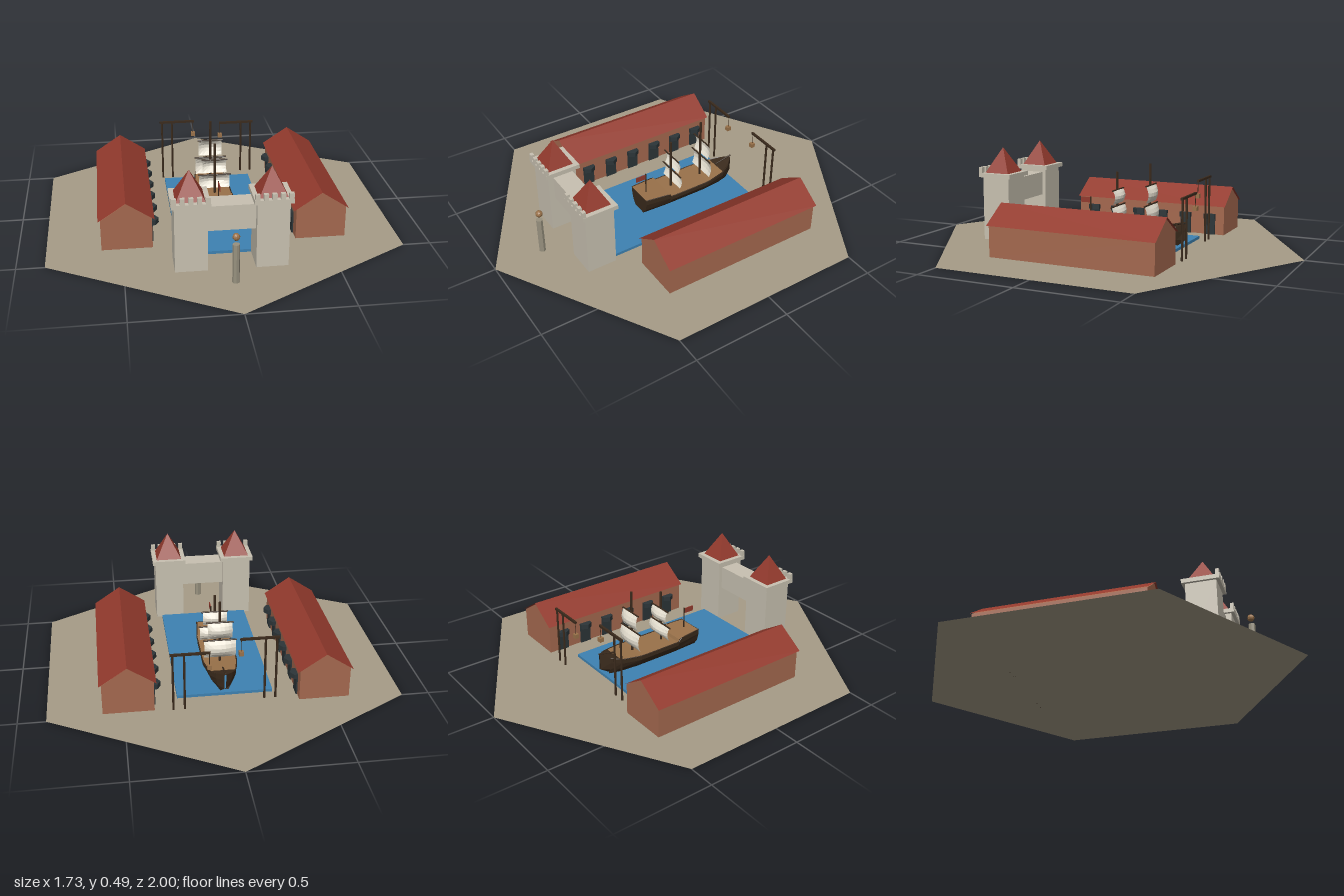
import * as THREE from 'three';

const mat = (name, color, extra = {}) => {
  const m = new THREE.MeshStandardMaterial({ color, flatShading: true, ...extra });
  m.name = name;
  return m;
};

export function createModel() {
  const root = new THREE.Group();
  root.name = 'harbour';
  const two = { side: THREE.DoubleSide };
  const M = {
    ground: mat('sandy ground', 0xa69c87, two),
    water: mat('water blue', 0x3e82b2),
    stone: mat('pale stone', 0xc8c1b1),
    brick: mat('brick', 0xa5694f),
    roof: mat('roof red', 0x933a2d, two),
    dark: mat('dark wood', 0x3a2a1c, two),
    deck: mat('deck wood', 0x9a724a, two),
    sail: mat('sail cloth', 0xe2dccd, two),
    door: mat('dark iron', 0x2c3538),
    post: mat('weathered stone', 0x98917f),
  };

  const group = (name, parent = root) => {
    const g = new THREE.Group();
    g.name = name;
    parent.add(g);
    return g;
  };
  const add = (parent, name, geo, material, x = 0, y = 0, z = 0) => {
    const m = new THREE.Mesh(geo, material);
    m.name = name;
    m.position.set(x, y, z);
    parent.add(m);
    return m;
  };
  const box = (parent, name, w, h, d, material, x, y, z) =>
    add(parent, name, new THREE.BoxGeometry(w, h, d), material, x, y, z);
  const pole = (parent, name, r, y0, y1, material, x, z, sides = 6) =>
    add(parent, name, new THREE.CylinderGeometry(r, r, y1 - y0, sides), material, x, (y0 + y1) / 2, z);

  // Skin over rows of points, each row having the same count
  const loft = (rows) => {
    const n = rows[0].length, index = [];
    for (let i = 0; i < rows.length - 1; i++)
      for (let j = 0; j < n - 1; j++) {
        const a = i * n + j, b = a + n;
        index.push(a, b, a + 1, b, b + 1, a + 1);
      }
    const g = new THREE.BufferGeometry();
    g.setAttribute('position', new THREE.Float32BufferAttribute(rows.flat(2), 3));
    g.setIndex(index);
    g.computeVertexNormals();
    return g;
  };

  // Hexagonal island and dock basin
  const hex = new THREE.CircleGeometry(1, 6, Math.PI / 2);
  hex.rotateX(-Math.PI / 2);
  add(root, 'ground', hex, M.ground);
  box(root, 'basin', 0.474, 0.015, 0.86, M.water, 0, 0.0085, 0.045);

  // Long warehouses with gabled ends and a row of doors facing the basin
  for (const s of [-1, 1]) {
    const house = group(s < 0 ? 'rightWarehouse' : 'leftWarehouse');
    const cx = s * 0.477, cz = -0.05;
    const section = new THREE.Shape([[-0.124, 0.005], [0.124, 0.005], [0.124, 0.163], [0, 0.245], [-0.124, 0.163]]
      .map(([x, y]) => new THREE.Vector2(x, y)));
    const walls = new THREE.ExtrudeGeometry(section, { depth: 0.86, bevelEnabled: false });
    add(house, 'walls', walls, M.brick, cx, 0, cz - 0.43);
    const slope = [-0.4375, 0.4375].map((z) => [[-0.136, 0.16, z], [0, 0.251, z], [0.136, 0.16, z]]);
    add(house, 'roof', loft(slope), M.roof, cx, 0, cz);
    for (let i = 0; i < 6; i++) {
      const z = -0.402 + i * 0.138, x = s * 0.352;
      box(house, 'door', 0.012, 0.1, 0.06, M.door, x, 0.055, z);
      const canopy = new THREE.CylinderGeometry(0.036, 0.036, 0.025, 6);
      canopy.rotateY(Math.PI / 6);
      canopy.rotateY(Math.PI / 3);
      canopy.rotateY(Math.PI / 2 - Math.PI / 2);
      add(house, 'doorCanopy', canopy, M.door, x, 0.105, z);
    }
  }

  // Gatehouse: two towers joined by a bridge wall
  const gate = group('gatehouse');
  const gz = 0.553;
  box(gate, 'gateBridge', 0.24, 0.125, 0.105, M.stone, 0, 0.2575, gz - 0.005);
  for (const s of [-1, 1]) {
    const tower = group(s < 0 ? 'rightTower' : 'leftTower', gate);
    const x = s * 0.19;
    box(tower, 'towerShaft', 0.153, 0.33, 0.153, M.stone, x, 0.17, gz);
    box(tower, 'towerCornice', 0.182, 0.022, 0.186, M.stone, x, 0.345, gz);
    for (let i = -2; i <= 2; i++)
      box(tower, 'merlon', 0.022, 0.032, 0.018, M.stone, x + i * 0.039, 0.37, gz + 0.084);
    const spire = new THREE.ConeGeometry(0.068 * Math.SQRT2, 0.13, 4);
    spire.rotateY(Math.PI / 4);
    add(tower, 'towerRoof', spire, M.roof, x, 0.421, gz);
  }

  // Beacon post in front of the gate
  const beacon = group('beacon');
  pole(beacon, 'beaconPost', 0.017, 0.005, 0.2, M.post, 0, 0.745, 8);
  add(beacon, 'beaconBall', new THREE.SphereGeometry(0.018, 8, 6), M.deck, 0, 0.235, 0.743);

  // Ship, bow towards the back: stations of z, half width, rail height
  const ship = group('ship');
  const stations = [
    [-0.4, 0.004, 0.125], [-0.36, 0.04, 0.112], [-0.31, 0.066, 0.1], [-0.2, 0.086, 0.092],
    [0.035, 0.086, 0.092], [0.04, 0.086, 0.108], [0.18, 0.072, 0.115],
  ];
  const frames = stations.map(([z, w, h], i) => {
    const zk = i === 0 ? z + 0.05 : z;
    return [
      [-w, h, z], [-w, h * 0.75, z], [-w * 0.85, 0.045, z], [-w * 0.5, 0.012, zk],
      [w * 0.5, 0.012, zk], [w * 0.85, 0.045, z], [w, h * 0.75, z], [w, h, z],
    ];
  });
  add(ship, 'hull', loft(frames), M.dark);
  const stern = frames[frames.length - 1];
  add(ship, 'transom', loft([stern.slice(0, 4), stern.slice(4).reverse()]), M.dark);
  const cross = ([z, w, h], drop) => [[-w, h - drop, z], [w, h - drop, z]];
  add(ship, 'foredeck', loft(stations.slice(0, 3).map((p) => cross(p, 0.002))), M.dark);
  add(ship, 'deck', loft(stations.slice(2).map((p) => cross(p, 0.002))), M.deck);
  for (const s of [-1, 1]) {
    const rail = new THREE.CatmullRomCurve3(
      stations.slice(1).map(([z, w, h]) => new THREE.Vector3(s * w, h, z)), false, 'catmullrom', 0.1);
    add(ship, 'rail', new THREE.TubeGeometry(rail, 18, 0.003, 4), M.dark);
  }
  const bowsprit = pole(ship, 'bowsprit', 0.004, 0, 0.1, M.dark, 0, -0.355);
  bowsprit.position.y = 0.123;
  bowsprit.rotation.x = -1.35;

  // Masts, each with two billowing square sails under yards
  const sail = (parent, w, y0, y1, z) => {
    const g = new THREE.PlaneGeometry(w, y1 - y0, 6, 5);
    const p = g.attributes.position;
    for (let i = 0; i < p.count; i++) {
      const u = p.getX(i) / w, v = p.getY(i) / (y1 - y0);
      p.setZ(i, -0.028 * Math.cos(u * Math.PI * 0.7) * Math.cos(v * Math.PI));
    }
    g.computeVertexNormals();
    add(parent, 'sail', g, M.sail, 0, (y0 + y1) / 2, z - 0.006);
    const yard = pole(parent, 'yard', 0.004, 0, w + 0.012, M.dark, 0, z - 0.006);
    yard.position.y = y1;
    yard.rotation.z = Math.PI / 2;
  };
  for (const [z, top, lowY, midY, highY] of [[-0.2, 0.42, 0.115, 0.21, 0.31], [-0.015, 0.366, 0.115, 0.19, 0.275]]) {
    const rig = group(z < -0.1 ? 'foreMast' : 'mainMast', ship);
    pole(rig, 'mast', 0.007, 0.08, top, M.dark, 0, z);
    sail(rig, 0.16, lowY, midY, z);
    sail(rig, 0.125, midY + 0.012, highY, z);
  }
  pole(ship, 'flagPole', 0.004, 0.1, 0.225, M.dark, 0, 0.138);
  box(ship, 'flag', 0.004, 0.028, 0.055, M.roof, 0, 0.208, 0.168);

  // Dockside cranes: two posts, a beam, and a crate on a rope
  for (const [s, z, y, inner, outer] of [[-1, -0.433, 0.335, 0.065, 0.255], [1, -0.478, 0.3, 0.083, 0.275]]) {
    const crane = group(s < 0 ? 'rightCrane' : 'leftCrane');
    for (const x of [outer - 0.012, outer - 0.067])
      pole(crane, 'cranePost', 0.006, 0, y, M.dark, s * x, z);
    box(crane, 'craneBeam', outer - inner, 0.011, 0.011, M.dark, s * (inner + outer) / 2, y, z);
    pole(crane, 'craneRope', 0.0015, y - 0.07, y, M.dark, s * (inner + 0.005), z, 4);
    box(crane, 'crate', 0.022, 0.022, 0.022, M.deck, s * (inner + 0.005), y - 0.075, z);
  }
  return root;
}
